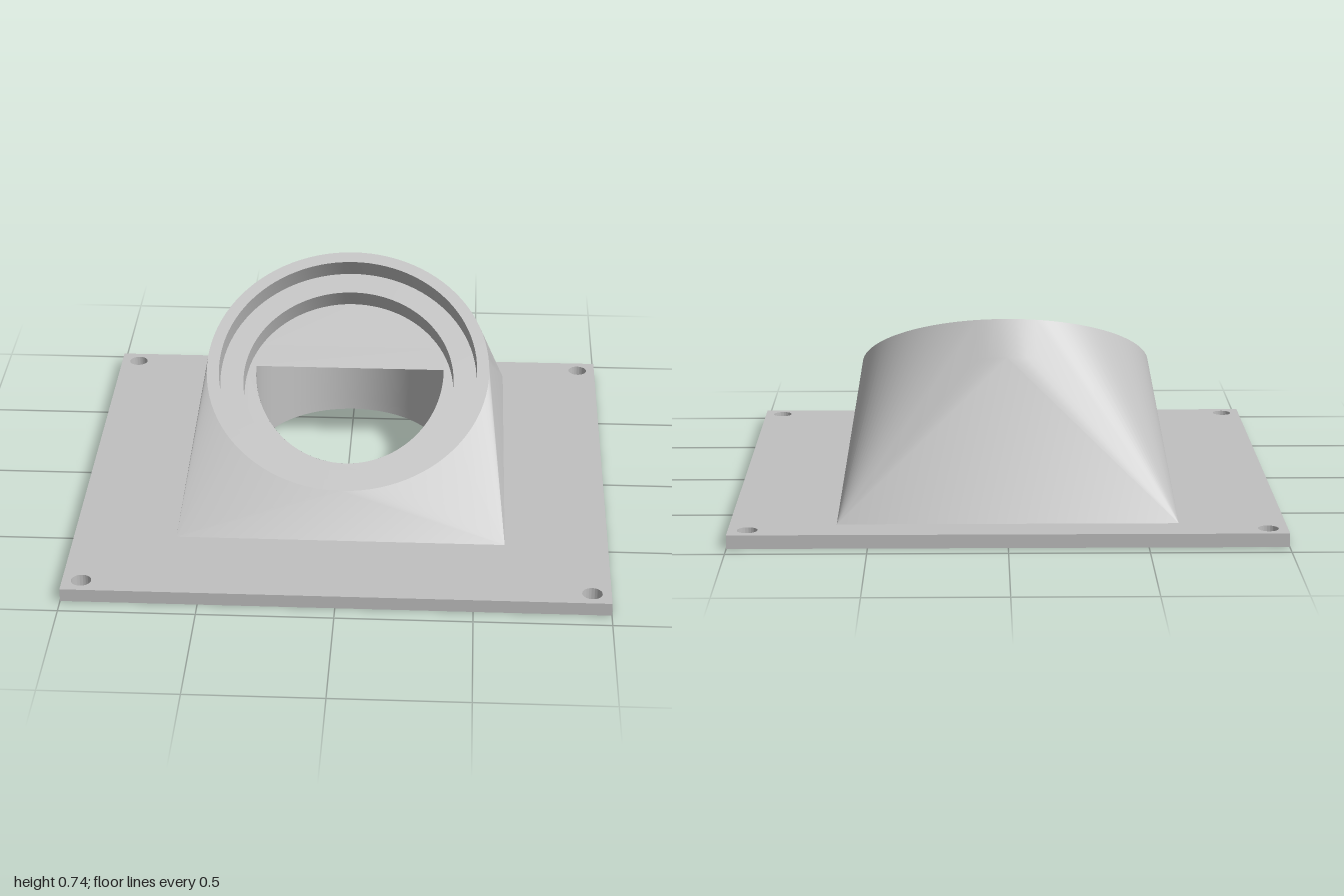
import * as THREE from 'three';
import { toCreasedNormals } from 'three/addons/utils/BufferGeometryUtils.js';
import { ConvexGeometry } from 'three/addons/geometries/ConvexGeometry.js';

const TILT = Math.PI / 6, TAN = Math.tan(TILT);
const PLATE = 0.05, SEG = 96;
const RIM = new THREE.Vector3(0, 0.47, -0.043);                            // centre of the tilted rim
const AXIS = new THREE.Vector3(0, Math.cos(TILT), Math.sin(TILT));
const R_OUT = 0.547, R_BORE = 0.5, R_STEP = 0.41, STEP = 0.083, COLLAR = 0.147;
const HOLE_R = 0.37, HOLE_Z = -0.21, CEILING = 0.425;                      // upright through-hole

const FLOOR = RIM.clone().addScaledVector(AXIS, -2 * STEP);
const floorY = (z) => FLOOR.y - (z - FLOOR.z) * TAN;
const CUT_Z = FLOOR.z - (CEILING - FLOOR.y) / TAN;                         // where floor meets the ceiling
const CUT_A = Math.asin((CUT_Z - HOLE_Z) / HOLE_R);

// points of the through-hole circle, as (x, z)
function holeArc(a0, a1, n = SEG) {
  return Array.from({ length: n + 1 }, (_, i) => {
    const a = a0 + (a1 - a0) * i / n;
    return new THREE.Vector2(HOLE_R * Math.cos(a), HOLE_Z + HOLE_R * Math.sin(a));
  });
}

function circleHole(x, y, r) {
  return new THREE.Path().absarc(x, y, r, 0, Math.PI * 2, true);
}

// flat base with four screw holes and the large opening
function plateGeometry() {
  const s = new THREE.Shape([[-1, -0.935], [1, -0.935], [1, 0.935], [-1, 0.935]].map((p) => new THREE.Vector2(...p)));
  for (const x of [-0.93, 0.93]) for (const y of [-0.87, 0.87]) s.holes.push(circleHole(x, y, 0.037));
  s.holes.push(circleHole(0, -HOLE_Z, HOLE_R));
  const g = new THREE.ExtrudeGeometry(s, { depth: PLATE, bevelEnabled: false, curveSegments: 48 });
  return toCreasedNormals(g.rotateX(-Math.PI / 2), 0.5);
}

// hull from the base rectangle to the tilted collar, open at the rim and underneath
function hullGeometry() {
  const pts = [];
  for (const x of [-0.615, 0.615]) for (const z of [-0.8, 0.55]) pts.push(new THREE.Vector3(x, PLATE, z));
  for (const d of [0, COLLAR]) {
    for (let i = 0; i < SEG; i++) {
      const a = i / SEG * Math.PI * 2;
      pts.push(new THREE.Vector3(R_OUT * Math.cos(a), -d, R_OUT * Math.sin(a))
        .applyAxisAngle(new THREE.Vector3(1, 0, 0), TILT).add(RIM));
    }
  }
  const p = new ConvexGeometry(pts).getAttribute('position');
  const kept = [];
  for (let i = 0; i < p.count; i += 3) {
    const tri = [0, 1, 2].map((k) => new THREE.Vector3().fromBufferAttribute(p, i + k));
    const onRim = tri.every((v) => Math.abs(v.clone().sub(RIM).dot(AXIS)) < 1e-4);
    const onBase = tri.every((v) => v.y < PLATE + 1e-4);
    if (!onRim && !onBase) tri.forEach((v) => kept.push(v.x, v.y, v.z));
  }
  const g = new THREE.BufferGeometry();
  g.setAttribute('position', new THREE.Float32BufferAttribute(kept, 3));
  return toCreasedNormals(g, 0.5);
}

// rim face and two stepped recesses
function socketGeometry() {
  const profile = [[R_OUT, 0], [R_BORE, 0], [R_BORE, -STEP], [R_STEP, -STEP], [R_STEP, -2 * STEP]];
  const g = new THREE.LatheGeometry(profile.map((p) => new THREE.Vector2(...p)), SEG);
  return toCreasedNormals(g, 0.5);
}

// tilted floor of the socket, pierced by the upright hole
function floorGeometry() {
  const s = new THREE.Shape().absarc(0, 0, R_STEP, 0, Math.PI * 2);
  const pts = holeArc(CUT_A, Math.PI - CUT_A)
    .map((p) => new THREE.Vector2(p.x, -(p.y - FLOOR.z) / Math.cos(TILT)));
  s.holes.push(new THREE.Path(pts));
  return new THREE.ShapeGeometry(s, 48).rotateX(-Math.PI / 2);
}

// wall of the upright hole, trimmed by the floor and the ceiling
function wallGeometry() {
  const g = new THREE.CylinderGeometry(HOLE_R, HOLE_R, 1, SEG, 1, true);
  g.scale(-1, 1, 1).translate(0, 0, HOLE_Z);
  const p = g.getAttribute('position');
  for (let i = 0; i < p.count; i++) p.setY(i, p.getY(i) > 0 ? Math.min(CEILING, floorY(p.getZ(i))) : PLATE);
  return toCreasedNormals(g, 0.5);
}

// flat roof over the back of the hole, facing down
function ceilingGeometry() {
  const s = new THREE.Shape(holeArc(Math.PI - CUT_A, 2 * Math.PI + CUT_A, 48));
  return new THREE.ShapeGeometry(s).rotateX(Math.PI / 2).translate(0, CEILING, 0);
}

export function createModel() {
  const grey = new THREE.MeshStandardMaterial({ color: 0xc0c0c0, side: THREE.DoubleSide });
  grey.name = 'lightGrey';
  const model = new THREE.Group();
  model.name = 'tiltedSocketMount';
  const add = (name, geometry, parent = model) => {
    const m = new THREE.Mesh(geometry, grey);
    m.name = name;
    parent.add(m);
    return m;
  };

  add('basePlate', plateGeometry());
  add('slopedHousing', hullGeometry());
  add('holeWall', wallGeometry());
  add('holeCeiling', ceilingGeometry());

  const socket = new THREE.Group();
  socket.name = 'tiltedSocket';
  socket.position.copy(RIM);
  socket.rotation.x = TILT;
  model.add(socket);
  add('steppedRecess', socketGeometry(), socket);
  add('socketFloor', floorGeometry(), socket).position.y = -2 * STEP;
  return model;
}
